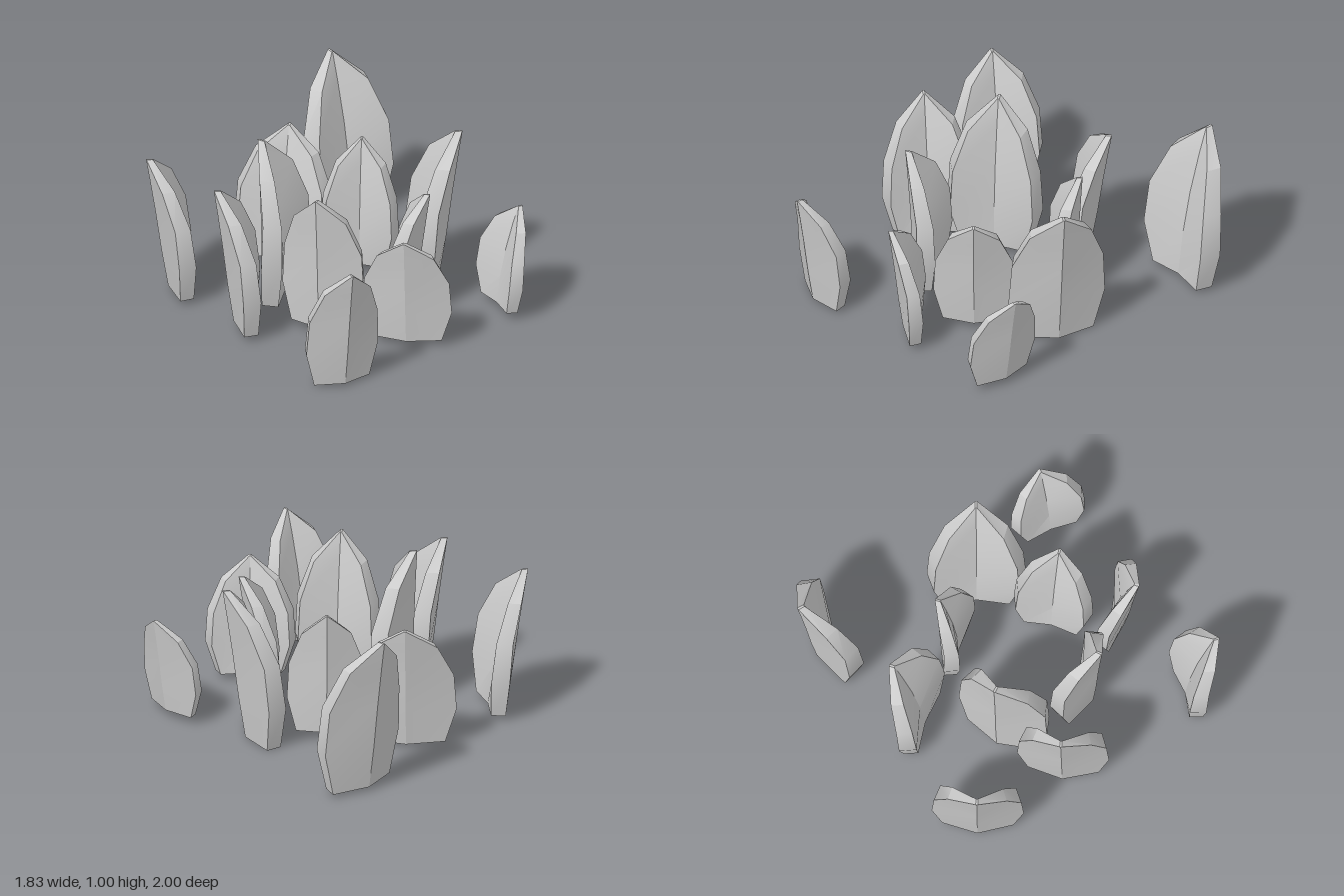
import * as THREE from 'three';
import { toCreasedNormals } from 'three/addons/utils/BufferGeometryUtils.js';

// Cross-sections from base to tip, measured from the tip:
// height, outer half width, inner half width, depth of outer ridge, outer edge, inner edge, inner ridge
const ROWS = [
  [-1.0, 0.385, 0.33, -0.155, -0.225, -0.322, -0.292],
  [-0.72, 0.5, 0.43, -0.108, -0.213, -0.335, -0.25],
  [-0.43, 0.475, 0.41, -0.068, -0.185, -0.295, -0.185],
  [-0.17, 0.32, 0.275, -0.028, -0.1, -0.19, -0.105],
  [0.0, 0.012, 0.01, 0.0, -0.003, -0.047, -0.045],
];

// Each scale: tip x, tip y, tip z, outward direction x, z, base y, width, tilt
const SCALES = [
  [0.64, 0.97, -1.0, 0.08, -1, 0.03, 0.58, -0.02],
  [0.665, 0.94, 0.225, 0.85, 0.52, 0.005, 0.57, -0.01],
  [0.13, 0.78, -0.7, 0.78, -0.63, 0.02, 0.58, 0],
  [-0.885, 0.85, -0.74, -0.83, -0.56, 0.03, 0.53, 0],
  [-0.85, 0.88, -0.15, -0.8, -0.6, 0.04, 0.53, -0.02],
  [-0.4, 1.0, -0.32, -0.54, -0.84, 0.065, 0.56, -0.115],
  [0.32, 0.81, -0.27, 0.7, -0.7, 0.07, 0.45, -0.1],
  [-0.5, 0.9, 0.35, -0.85, 0.52, 0.065, 0.5, -0.085],
  [0.21, 0.79, 0.51, 0.68, 0.73, 0.045, 0.47, -0.02],
  [-0.2, 0.71, 0.79, -0.73, 0.68, 0.045, 0.52, -0.03],
  [-0.73, 0.76, 1.0, -0.24, 0.97, 0.02, 0.45, -0.01],
  [0.735, 0.63, 0.695, 0.99, 0.15, 0.045, 0.46, 0],
];

// Thick leaf-like plate folded along its middle, leaning outward (+z), tip at the origin
function scaleGeometry() {
  const positions = [];
  const rings = ROWS.map(([y, wo, wi, ridgeO, edgeO, edgeI, ridgeI]) => [
    [-wo, y, edgeO], [0, y, ridgeO], [wo, y, edgeO],
    [wi, y, edgeI], [0, y, ridgeI], [-wi, y, edgeI],
  ]);
  const quad = (a, b, c, d) => positions.push(...a, ...b, ...c, ...a, ...c, ...d);
  for (let i = 0; i < rings.length - 1; i++) {
    for (let k = 0; k < 6; k++) {
      const n = (k + 1) % 6;
      quad(rings[i][k], rings[i][n], rings[i + 1][n], rings[i + 1][k]);
    }
  }
  // Caps, each in two halves along the fold
  const lo = rings[0], hi = rings[rings.length - 1];
  quad(lo[5], lo[4], lo[1], lo[0]);
  quad(lo[4], lo[3], lo[2], lo[1]);
  quad(hi[0], hi[1], hi[4], hi[5]);
  quad(hi[1], hi[2], hi[3], hi[4]);
  const geometry = new THREE.BufferGeometry();
  geometry.setAttribute('position', new THREE.Float32BufferAttribute(positions, 3));
  return geometry;
}

export function createModel() {
  const group = new THREE.Group();
  group.name = 'scaleCluster';
  const grey = new THREE.MeshStandardMaterial({ color: 0xcccccc });
  grey.name = 'paleGrey';
  SCALES.forEach(([x, top, z, dx, dz, base, width, tilt], i) => {
    const height = top - base;
    const geometry = scaleGeometry().scale(width, height, height);
    const scale = new THREE.Mesh(toCreasedNormals(geometry, 0.45), grey);
    scale.name = `scale${i + 1}`;
    scale.position.set(x, top, z);
    scale.rotation.set(tilt, Math.atan2(dx, dz), 0, 'YXZ');
    group.add(scale);
  });
  return group;
}
